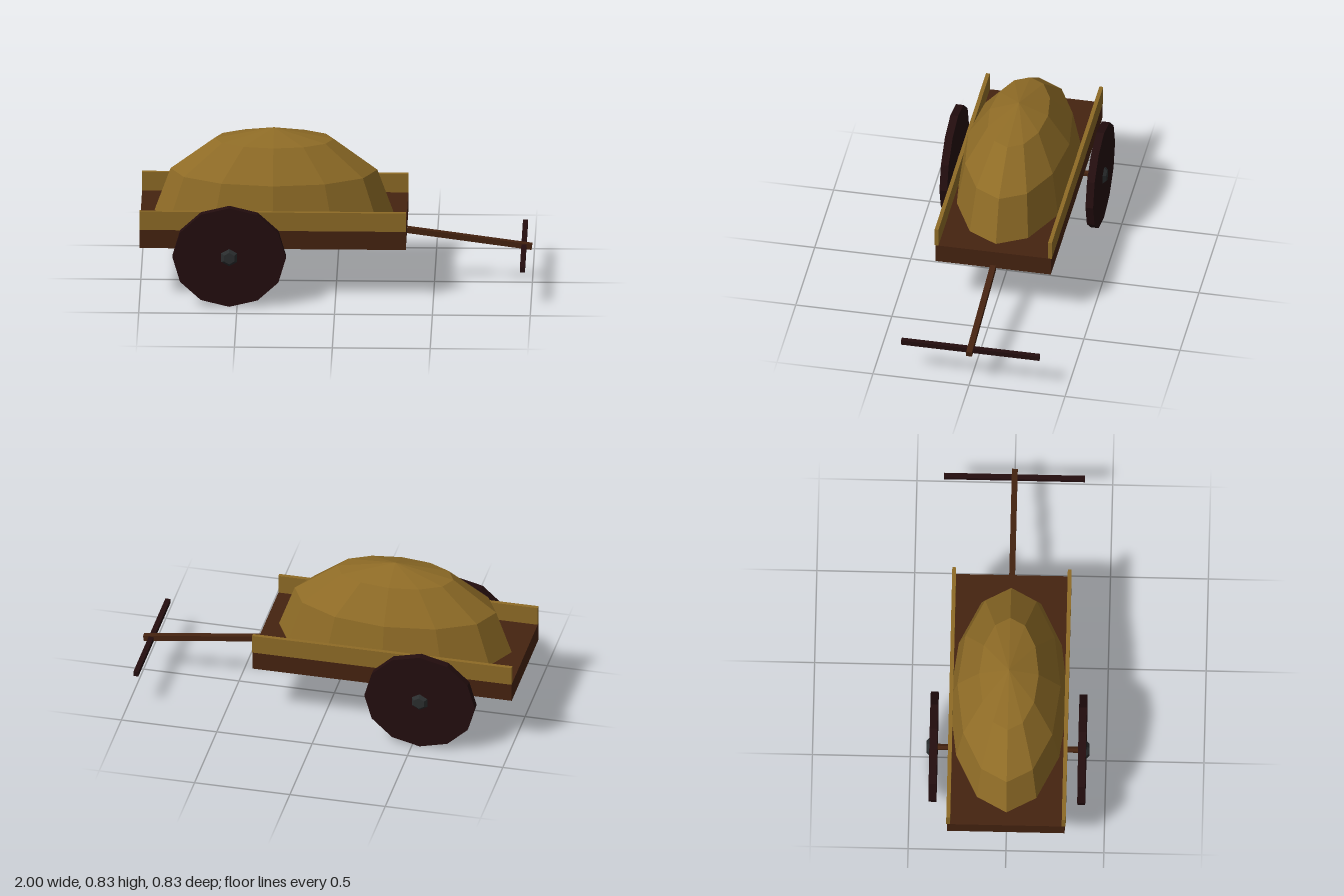
import * as THREE from 'three';

const mat = (name, color) => {
  const m = new THREE.MeshStandardMaterial({ color, flatShading: true });
  m.name = name;
  return m;
};

export function createModel() {
  const cart = new THREE.Group();
  cart.name = 'cart';
  const straw = mat('straw', 0x8e6b26);
  const wood = mat('brownWood', 0x452310);
  const dark = mat('darkWood', 0x230d0e);
  const iron = mat('iron', 0x2a2d2e);

  const add = (name, geometry, material, x, y, z) => {
    const mesh = new THREE.Mesh(geometry, material);
    mesh.name = name;
    mesh.position.set(x, y, z);
    cart.add(mesh);
    return mesh;
  };

  // Bed and heaped load
  add('bed', new THREE.BoxGeometry(1.36, 0.1, 0.6), wood, -0.32, 0.33, 0);
  const heap = new THREE.SphereGeometry(1, 12, 3, 0, Math.PI * 2, 0, Math.PI / 2);
  heap.scale(0.61, 0.453, 0.304);
  add('load', heap, straw, -0.32, 0.38, 0);

  // Axle
  const axle = new THREE.CylinderGeometry(0.016, 0.016, 0.74, 6).rotateX(Math.PI / 2);
  add('axle', axle, wood, -0.54, 0.267, 0);

  // Side boards, wheels and hubs, one of each per side
  for (const s of [1, -1]) {
    add('sideBoard', new THREE.BoxGeometry(1.36, 0.1, 0.02), straw, -0.32, 0.43, s * 0.295);

    const disc = new THREE.CylinderGeometry(0.29, 0.29, 0.04, 12).rotateX(Math.PI / 2);
    disc.scale(1, 0.922, 1);
    add('wheel', disc, dark, -0.54, 0.268, s * 0.38);

    const cap = new THREE.CylinderGeometry(0.031, 0.048, 0.017, 6).rotateX(s * Math.PI / 2);
    add('hub', cap, iron, -0.54, 0.268, s * 0.4075);
  }

  // Sloping draw pole with a cross handle
  const from = new THREE.Vector2(0.36, 0.283);
  const to = new THREE.Vector2(0.998, 0.196);
  const span = to.clone().sub(from);
  const pole = add('pole', new THREE.BoxGeometry(span.length(), 0.029, 0.03), wood,
    (from.x + to.x) / 2, (from.y + to.y) / 2, 0);
  pole.rotation.z = span.angle();
  add('handle', new THREE.BoxGeometry(0.026, 0.026, 0.72), dark, 0.957, 0.198, 0);

  return cart;
}
